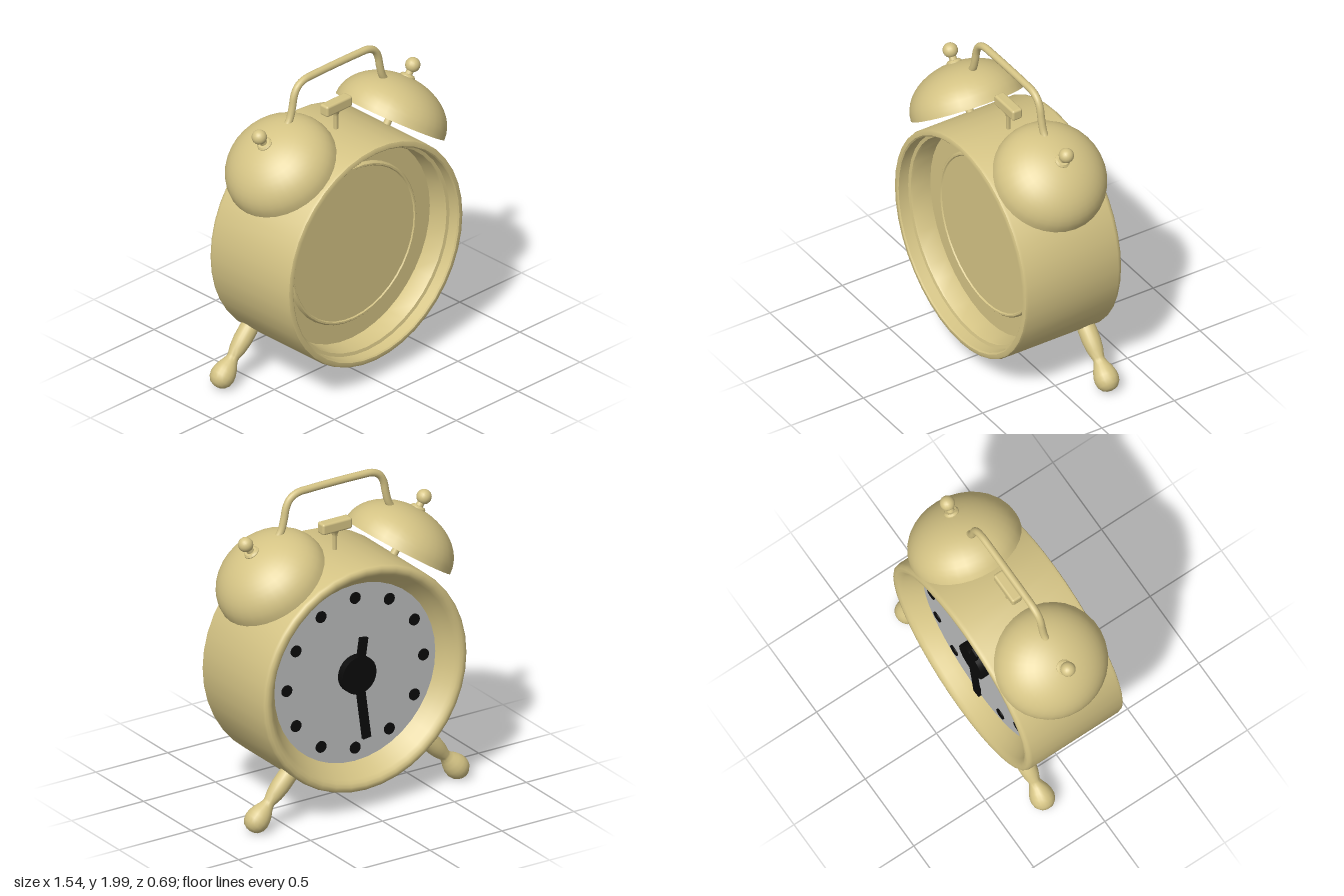
import * as THREE from 'three';
import { toCreasedNormals } from 'three/addons/utils/BufferGeometryUtils.js';
import { RoundedBoxGeometry } from 'three/addons/geometries/RoundedBoxGeometry.js';

const CENTRE_Y = 0.845;

export function createModel() {
  const model = new THREE.Group();
  model.name = 'alarmClock';

  const brass = new THREE.MeshStandardMaterial({ name: 'brass', color: 0xd5c485 });
  const silver = new THREE.MeshStandardMaterial({ name: 'dialSilver', color: 0xbabcbc });
  const black = new THREE.MeshStandardMaterial({ name: 'black', color: 0x0a0a0a });

  const add = (parent, name, geometry, material, x = 0, y = 0, z = 0) => {
    const mesh = new THREE.Mesh(geometry, material);
    mesh.name = name;
    mesh.position.set(x, y, z);
    parent.add(mesh);
    return mesh;
  };
  const lathe = (points, segments) => toCreasedNormals(
    new THREE.LatheGeometry(points.map(([r, h]) => new THREE.Vector2(r, h)), segments), 0.7);

  // Drum: dial lip, outer wall, stepped recess and raised plate on the front
  const body = lathe([
    [0.555, -0.205], [0.6, -0.255], [0.632, -0.305], [0.648, -0.325], [0.668, -0.335],
    [0.69, -0.333], [0.702, -0.322], [0.706, -0.305],
    [0.706, 0.315], [0.701, 0.33], [0.69, 0.335], [0.672, 0.335], [0.664, 0.328],
    [0.66, 0.265], [0.64, 0.26], [0.634, 0.25], [0.632, 0.13],
    [0.51, 0.13], [0.508, 0.145], [0.5, 0.153], [0.49, 0.153], [0.484, 0.146], [0, 0.146],
  ], 40);
  body.rotateX(Math.PI / 2);
  add(model, 'body', body, brass, 0, CENTRE_Y, 0);

  // Dial with hour dots and hands, facing -z
  const dial = new THREE.Group();
  dial.name = 'dial';
  dial.position.set(0, CENTRE_Y, -0.21);
  model.add(dial);
  add(dial, 'dialPlate', new THREE.CircleGeometry(0.562, 40).rotateY(Math.PI), silver);
  const dotGeometry = new THREE.CylinderGeometry(0.036, 0.036, 0.008, 16).rotateX(Math.PI / 2);
  for (let i = 0; i < 12; i++) {
    const a = (i * Math.PI) / 6;
    add(dial, 'hourDot', dotGeometry, black, 0.475 * Math.sin(a), 0.475 * Math.cos(a), -0.004);
  }
  add(dial, 'handHub', new THREE.CylinderGeometry(0.118, 0.118, 0.05, 24).rotateX(Math.PI / 2),
    black, 0, 0, -0.025);
  const addHand = (name, x, y) => {
    const length = Math.hypot(x, y);
    const geometry = new THREE.BoxGeometry(0.054, length, 0.02).translate(0, length / 2, 0);
    add(dial, name, geometry, black, 0, 0, -0.04).rotation.z = Math.atan2(-x, y);
  };
  addHand('minuteHand', -0.055, -0.41);
  addHand('hourHand', -0.035, 0.23);

  // Hollow bell profile: inner dome down to the rim, then outer dome up
  const bellProfile = [];
  const STEPS = 12;
  for (let i = 0; i <= STEPS; i++) {
    const a = (i / STEPS) * Math.PI / 2;
    bellProfile.push([0.328 * Math.sin(a), 0.238 * Math.cos(a)]);
  }
  for (let i = STEPS; i >= 0; i--) {
    const a = (i / STEPS) * Math.PI / 2;
    bellProfile.push([0.345 * Math.sin(a), 0.255 * Math.cos(a)]);
  }
  const bellGeometry = lathe(bellProfile, 32);
  const nutGeometry = lathe([
    [0, 0.225], [0.036, 0.225], [0.046, 0.235], [0.046, 0.258], [0.036, 0.268], [0, 0.268],
  ], 20);

  // Leg profile, measured outwards from the drum centre
  const legGeometry = lathe([
    [0, 0.64], [0.05, 0.64], [0.056, 0.72], [0.056, 0.79], [0.049, 0.85], [0.037, 0.895],
    [0.036, 0.91], [0.045, 0.935], [0.06, 0.965], [0.071, 1.0], [0.074, 1.03],
    [0.067, 1.062], [0.048, 1.088], [0.024, 1.1], [0, 1.103],
  ], 20);

  for (const side of [1, -1]) {
    const label = side > 0 ? 'left' : 'right';
    const bell = new THREE.Group();
    bell.name = label + 'BellAssembly';
    bell.position.set(side * 0.437, 1.46, 0);
    bell.rotation.z = -side * 0.593;
    model.add(bell);
    add(bell, 'bell', bellGeometry, brass);
    add(bell, 'bellPost', new THREE.CylinderGeometry(0.023, 0.023, 0.43, 14), brass, 0, 0.025, 0);
    add(bell, 'bellNut', nutGeometry, brass);
    add(bell, 'knobStem', new THREE.CylinderGeometry(0.02, 0.024, 0.08, 14), brass, 0, 0.285, 0);
    add(bell, 'knob', new THREE.SphereGeometry(0.045, 18, 12), brass, 0, 0.328, 0);

    const leg = add(model, label + 'Leg', legGeometry, brass, 0, CENTRE_Y, -0.23);
    leg.rotation.z = -side * 2.4;
  }

  // Carrying handle arching between the bells
  const half = [[0.47, 1.63], [0.42, 1.69], [0.375, 1.755], [0.353, 1.83], [0.338, 1.9],
    [0.31, 1.947], [0.26, 1.973], [0.18, 1.978]];
  const path = [
    ...half.map(([x, y]) => new THREE.Vector3(-x, y, 0)),
    ...half.slice().reverse().map(([x, y]) => new THREE.Vector3(x, y, 0)),
  ];
  add(model, 'handle',
    new THREE.TubeGeometry(new THREE.CatmullRomCurve3(path), 72, 0.0225, 12), brass);

  // Striker between the bells
  add(model, 'strikerHead', new RoundedBoxGeometry(0.205, 0.07, 0.068, 3, 0.014), brass, 0, 1.704, 0);
  add(model, 'strikerStem', lathe([
    [0.014, 1.5], [0.014, 1.635], [0.018, 1.655], [0.03, 1.672],
  ], 14), brass);

  return model;
}
